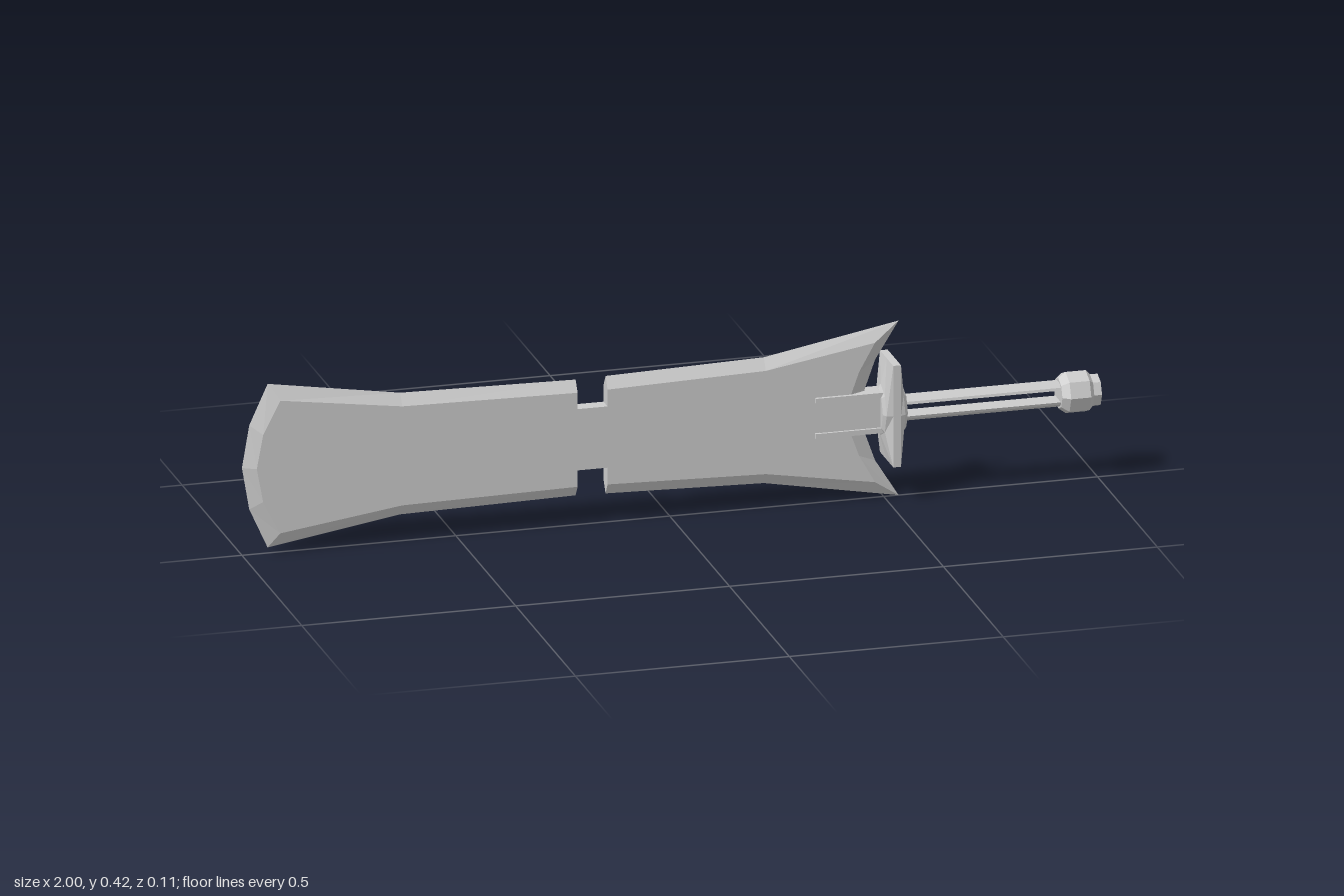
import * as THREE from 'three';

const CY = 0.211; // height of the sword's long axis

const material = new THREE.MeshStandardMaterial({ color: 0xcccccc, flatShading: true, side: THREE.DoubleSide });

function addMesh(group, name, geometry) {
  const mesh = new THREE.Mesh(geometry, material);
  mesh.name = name;
  group.add(mesh);
  return mesh;
}

function fromTriangles(positions) {
  const g = new THREE.BufferGeometry();
  g.setAttribute('position', new THREE.Float32BufferAttribute(positions, 3));
  g.computeVertexNormals();
  return g;
}

// Skin loops of [x, y, z] stacked along x, closing both ends
function loft(loops) {
  const out = [];
  const n = loops[0].length;
  for (let k = 0; k < loops.length - 1; k++) {
    for (let i = 0; i < n; i++) {
      const j = (i + 1) % n;
      const a = loops[k][i], b = loops[k][j], c = loops[k + 1][j], d = loops[k + 1][i];
      out.push(...a, ...b, ...d, ...b, ...c, ...d);
    }
  }
  const first = loops[0], last = loops[loops.length - 1];
  for (let i = 1; i < n - 1; i++) {
    out.push(...first[0], ...first[i + 1], ...first[i]);
    out.push(...last[0], ...last[i], ...last[i + 1]);
  }
  return fromTriangles(out);
}

// Eight-sided loop, or a rectangle with the same point count
function octagon(x, ry, rz = ry) {
  return Array.from({ length: 8 }, (_, i) => {
    const a = (i * Math.PI) / 4;
    return [x, Math.cos(a) * ry, Math.sin(a) * rz];
  });
}
function rectangle(x, hy, hz) {
  return octagon(x, 1).map(([, y, z]) => [
    x,
    Math.abs(y) < 0.01 ? 0 : Math.sign(y) * hy,
    Math.abs(z) < 0.01 ? 0 : Math.sign(z) * hz,
  ]);
}

// Blade: sharp rim at z = 0 and an inset flat on each face
function bladeGeometry() {
  const rimHalf = [
    [-1, 0], [-0.983, 0.1], [-0.94, 0.195], [-0.63, 0.145], [-0.22, 0.138], [-0.22, 0.073],
    [-0.15, 0.073], [-0.15, 0.14], [0.22, 0.15], [0.535, 0.208], [0.48, 0.12], [0.455, 0.05],
  ];
  const flatHalf = [
    [-0.97, 0], [-0.955, 0.08], [-0.915, 0.158], [-0.63, 0.118], [-0.22, 0.112], [-0.22, 0.073],
    [-0.15, 0.073], [-0.15, 0.113], [0.22, 0.123], [0.475, 0.166], [0.438, 0.1], [0.42, 0.05],
  ];
  // Mirror the upper half into a counter-clockwise outline
  const close = (half) => [
    ...half.map(([x, y]) => new THREE.Vector2(x, -y)),
    ...half.slice(1).reverse().map(([x, y]) => new THREE.Vector2(x, y)),
  ];
  const rim = close(rimHalf), flat = close(flatHalf);
  const out = [];
  const faces = THREE.ShapeUtils.triangulateShape(flat.slice(), []);
  for (const s of [1, -1]) {
    const z = 0.017 * s;
    const tri = (a, b, c) => (s > 0 ? out.push(...a, ...b, ...c) : out.push(...a, ...c, ...b));
    const F = (i) => [flat[i].x, flat[i].y, z];
    const R = (i) => [rim[i].x, rim[i].y, 0];
    for (const [a, b, c] of faces) {
      const ccw = THREE.ShapeUtils.area([flat[a], flat[b], flat[c]]) > 0;
      if (ccw) tri(F(a), F(b), F(c));
      else tri(F(a), F(c), F(b));
    }
    for (let i = 0; i < rim.length; i++) {
      const j = (i + 1) % rim.length;
      tri(R(i), R(j), F(j));
      tri(R(i), F(j), F(i));
    }
  }
  return fromTriangles(out);
}

export function createModel() {
  const sword = new THREE.Group();
  sword.name = 'sword';
  sword.position.y = CY;

  addMesh(sword, 'blade', bladeGeometry());

  // Socket gripping the blade: thin plate framed by two raised prongs
  const plate = addMesh(sword, 'socketPlate', new THREE.BoxGeometry(0.155, 0.08, 0.038));
  plate.position.x = 0.4225;
  for (const s of [1, -1]) {
    const prong = addMesh(sword, 'socketProng', new THREE.BoxGeometry(0.165, 0.012, 0.05));
    prong.position.set(0.4175, 0.042 * s, 0);
  }

  // Guard: rectangular plate rising to an eight-sided collar on both sides
  addMesh(sword, 'guard', loft([
    octagon(0.487, 0.05, 0.04),
    octagon(0.493, 0.061, 0.05),
    rectangle(0.507, 0.121, 0.056),
    rectangle(0.525, 0.121, 0.056),
    octagon(0.537, 0.061, 0.05),
    octagon(0.545, 0.05, 0.042),
  ]));

  // Grip: two chamfered bars with an open slot between them
  for (const s of [1, -1]) {
    const section = [[0.014, -0.024], [0.02, -0.022], [0.028, -0.011], [0.028, 0.011], [0.02, 0.022], [0.014, 0.024]];
    const ring = section.map(([y, z]) => [y * s, z]);
    if (s > 0) ring.reverse();
    const loops = [0.53, 0.92].map((x) => ring.map(([y, z]) => [x, y, z]));
    // Keep the loop turning from +y to +z
    const turn = THREE.ShapeUtils.area(ring.map(([y, z]) => new THREE.Vector2(y, z)));
    if (turn < 0) loops.forEach((l) => l.reverse());
    addMesh(sword, 'gripBar', loft(loops));
  }

  // Pommel: stepped eight-sided knob
  addMesh(sword, 'pommel', loft([
    octagon(0.908, 0.036),
    octagon(0.925, 0.049),
    octagon(0.972, 0.049),
    octagon(0.982, 0.038),
    octagon(1, 0.038),
  ]));

  const model = new THREE.Group();
  model.name = 'model';
  model.add(sword);
  return model;
}
